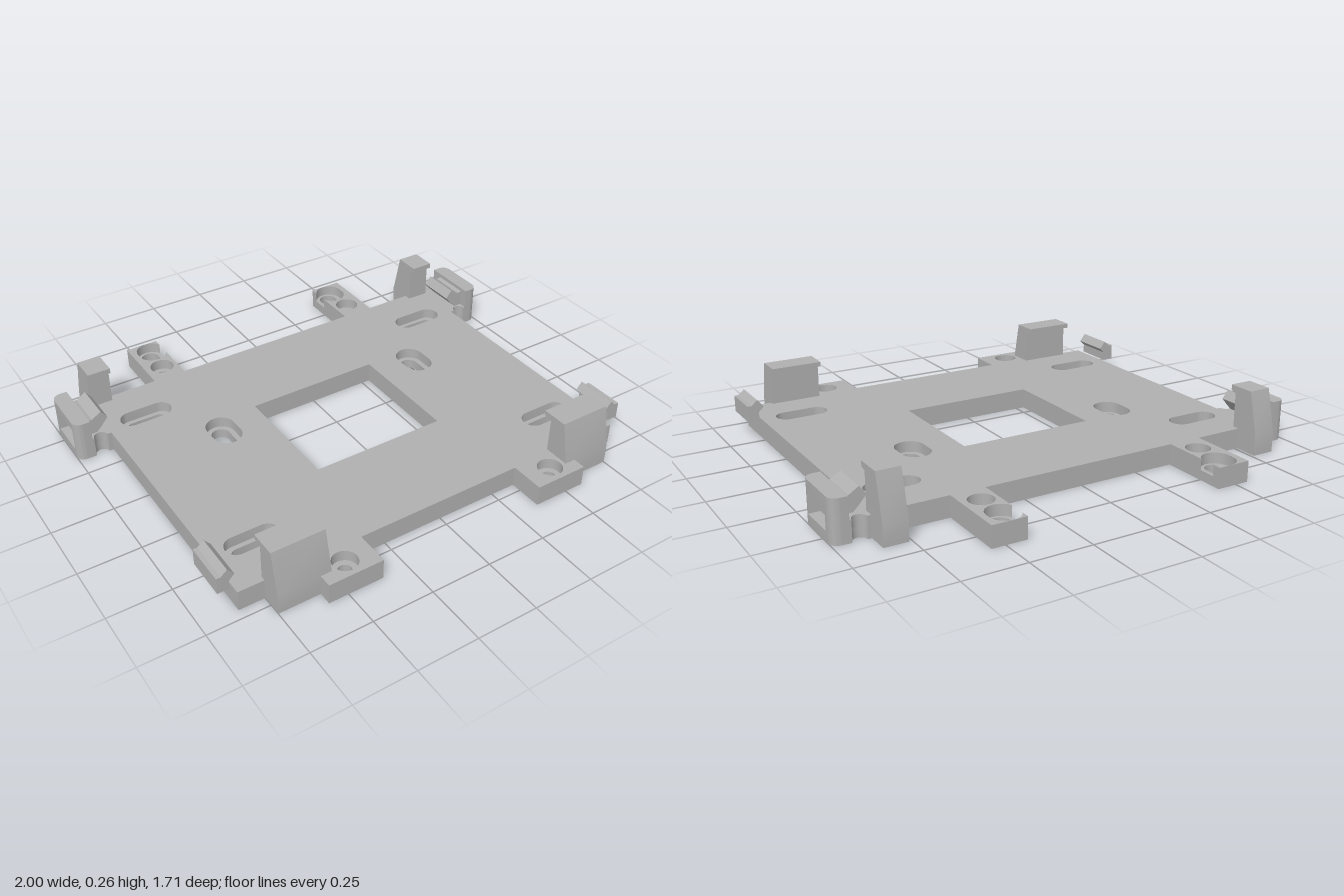
import * as THREE from 'three';
import { toCreasedNormals } from 'three/addons/utils/BufferGeometryUtils.js';

const toShape = pts => new THREE.Shape(pts.map(p => new THREE.Vector2(p[0], p[1])));

// Outline in (x, z), extruded from y0 up to y1
function slab(pts, y0, y1, holes = []) {
  const shape = toShape(pts);
  shape.holes = holes.map(toShape);
  const geo = new THREE.ExtrudeGeometry(shape, { depth: y1 - y0, bevelEnabled: false });
  return geo.rotateX(Math.PI / 2).translate(0, y1, 0);
}

// Profile in (z, y), extruded between x0 and x1
function alongX(pts, x0, x1) {
  const geo = new THREE.ExtrudeGeometry(toShape(pts), { depth: x1 - x0, bevelEnabled: false });
  return geo.rotateY(-Math.PI / 2).translate(x1, 0, 0);
}

// Profile in (x, y), extruded between z0 and z1
function alongZ(pts, z0, z1) {
  return new THREE.ExtrudeGeometry(toShape(pts), { depth: z1 - z0, bevelEnabled: false }).translate(0, 0, z0);
}

// Rounded slot (a circle when both half sizes match)
function slot(cx, cz, hx, hz) {
  const r = Math.min(hx, hz), pts = [];
  for (let i = 0; i < 32; i++) {
    const t = (i + 0.5) / 32 * Math.PI * 2, c = Math.cos(t), s = Math.sin(t);
    pts.push([cx + Math.sign(c) * (hx - r) + r * c, cz + Math.sign(s) * (hz - r) + r * s]);
  }
  return pts;
}

function arc(cx, cz, r, a, b, n = 8) {
  return Array.from({ length: n + 1 }, (_, i) => {
    const t = a + (b - a) * i / n;
    return [cx + r * Math.cos(t), cz + r * Math.sin(t)];
  });
}

const mirror = (pts, s) => pts.map(([x, y]) => [x * s, y]);

export function createModel() {
  const model = new THREE.Group();
  const grey = new THREE.MeshStandardMaterial({ color: 0xb0b0b0 });
  grey.name = 'plain grey';
  const add = (name, geo, parent = model) => {
    const mesh = new THREE.Mesh(toCreasedNormals(geo, 0.6), grey);
    mesh.name = name;
    parent.add(mesh);
  };

  // Base plate: lower layer with through holes, upper layer with recesses
  const outline = notch => {
    const half = [
      [0.415, -0.57], ...notch, [0.415, -0.855], [0.555, -0.855], [0.555, -0.57], [0.855, -0.57],
      [0.855, 0.71], [0.58, 0.71], [0.58, 0.85], [0.355, 0.85], [0.355, 0.71]
    ];
    return [...half, ...mirror(half, -1).reverse()];
  };
  // The rear recess breaks through the inner edge of its tab
  const notch = [];
  for (let i = 0; i <= 24; i++) {
    const t = 2.73 * (1 - i / 12);
    notch.push([0.47 + 0.06 * Math.cos(t), -0.785 + Math.sign(Math.sin(t)) * 0.01 + 0.06 * Math.sin(t)]);
  }
  // Centre x, z, recess half sizes, through hole half sizes
  const fixings = [
    [0.685, -0.375, 0.11, 0.047, 0.083, 0.028],
    [0.685, 0.51, 0.11, 0.047, 0.083, 0.028],
    [0.47, -0.105, 0.06, 0.09, 0.038, 0.07],
    [0.47, 0.78, 0.05, 0.05, 0.027, 0.027],
    [0.48, -0.655, 0.05, 0.05, 0.027, 0.027]
  ];
  const opening = [[-0.285, -0.18], [0.285, -0.18], [0.285, 0.31], [-0.285, 0.31]];
  const lower = [opening], upper = [opening];
  for (const s of [-1, 1]) {
    for (const [x, z, ax, az, bx, bz] of fixings) {
      upper.push(slot(s * x, z, ax, az));
      lower.push(slot(s * x, z, bx, bz));
    }
    lower.push(slot(s * 0.47, -0.785, 0.038, 0.058));
  }
  const step = 0.04, top = 0.085;
  add('plateLower', slab(outline([]), 0, step, lower));
  add('plateUpper', slab(outline(notch), step, top, upper));

  const frontClip = [
    [0.71, 0], [0.797, 0], [0.797, 0.085], [0.76, 0.25], [0.653, 0.25],
    [0.653, 0.23], [0.69, 0.225], [0.69, 0.085], [0.71, 0.085]
  ];
  const rearClip = [
    [-0.57, 0], [-0.668, 0], [-0.668, 0.085], [-0.625, 0.257], [-0.515, 0.257],
    [-0.515, 0.235], [-0.54, 0.23], [-0.54, 0.085], [-0.57, 0.085]
  ];
  const sideCatch = [
    [0.868, 0.085], [0.915, 0.085], [0.915, 0.153], [0.897, 0.153], [0.872, 0.175], [0.846, 0.143], [0.868, 0.122]
  ];
  const latchHook = [
    [0.9, 0.085], [0.94, 0.085], [0.94, 0.155], [0.915, 0.15], [0.875, 0.175], [0.85, 0.14], [0.875, 0.11]
  ];

  for (const s of [-1, 1]) {
    const side = s > 0 ? 'left' : 'right';
    const span = (a, b) => s > 0 ? [a, b] : [-b, -a];
    add(side + 'FrontClip', alongX(frontClip, ...span(0.535, 0.75)));
    add(side + 'RearClip', alongX(rearClip, ...span(0.762, 0.857)));
    add(side + 'SideCatch', alongZ(mirror(sideCatch, s), 0.51, 0.68));

    // Rear side latch: notched foot, rounded wall with a window, inner hook
    const latch = new THREE.Group();
    latch.name = side + 'Latch';
    model.add(latch);
    const z0 = -0.58, z1 = -0.335, r = 0.035, w0 = -0.53, w1 = -0.37, back = 0.955;
    const cornerA = arc(1 - r, z0 + r, r, -Math.PI / 2, 0);
    const cornerB = arc(1 - r, z1 - r, r, 0, Math.PI / 2);
    const window = [[1, w0], [back, w0], [back, w1], [1, w1]];
    const foot = cut => [
      [0.855, z0], ...arc(0.9, z0, 0.028, Math.PI, 0), ...cornerA, ...cut,
      ...cornerB, ...arc(0.9, z1, 0.028, 0, -Math.PI), [0.855, z1]
    ];
    const wall = cut => [[0.935, z0], ...cornerA, ...cut, ...cornerB, [0.935, z1]];
    add('latchFootLower', slab(mirror(foot([]), s), 0, 0.04), latch);
    add('latchFootUpper', slab(mirror(foot(window), s), 0.04, top), latch);
    add('latchWallWindow', slab(mirror(wall(window), s), top, 0.135), latch);
    add('latchWallTop', slab(mirror(wall([]), s), 0.135, 0.17), latch);
    add('latchHook', alongZ(mirror(latchHook, s), w0, w1), latch);
  }
  return model;
}
